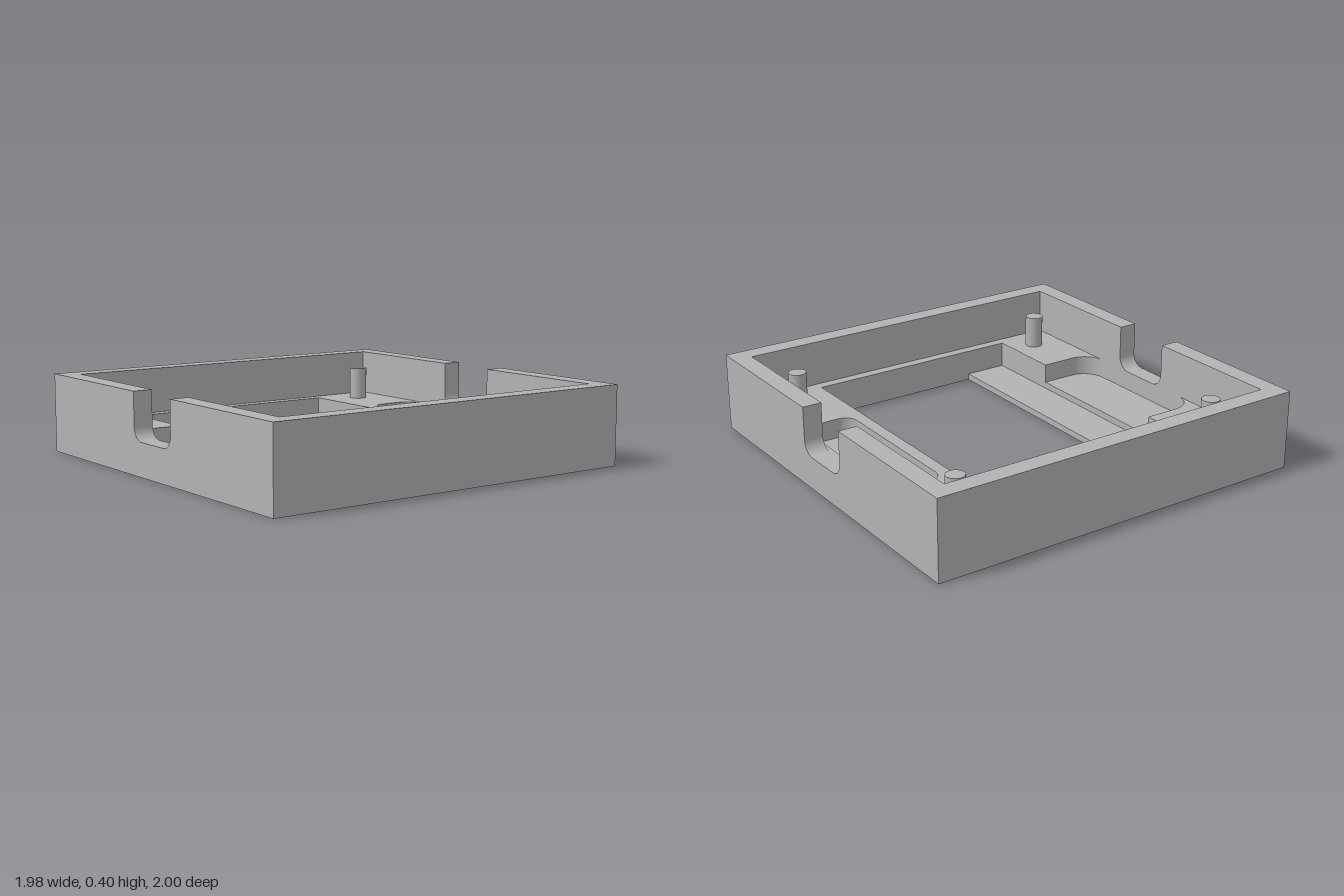
import * as THREE from 'three';

const W = 0.99, D = 1;            // outer half width and half depth
const IW = 0.893, ID = 0.902;     // inner half width and half depth
const WIN = 0.84;                 // window half width
const BACK = -0.545, FRONT = 0.374, STEP = 0.602; // window back, ledge edge, ledge back
const FLOOR = 0.167, TOP = 0.4;

// Plan outlines are drawn as (x, -z)
const rect = (x, z0, z1, P = THREE.Path) => new P()
  .moveTo(-x, -z1).lineTo(x, -z1).lineTo(x, -z0).lineTo(-x, -z0).closePath();

function roundedRect(x, z0, z1, r) {
  const p = new THREE.Path(), a = -z1, b = -z0, h = Math.PI / 2;
  p.moveTo(-x + r, a);
  p.absarc(x - r, a + r, r, -h, 0);
  p.absarc(x - r, b - r, r, 0, h);
  p.absarc(-x + r, b - r, r, h, 2 * h);
  p.absarc(-x + r, a + r, r, 2 * h, 3 * h);
  return p;
}

// Window opening joined to the front pocket with its rounded corners
function windowWithPocket() {
  const p = new THREE.Path(), x = 0.43, r = 0.12, a = -ID, h = Math.PI / 2;
  p.moveTo(-WIN, -STEP).lineTo(-x, -STEP);
  p.absarc(-x + r, a + r, r, Math.PI, 3 * h);
  p.absarc(x - r, a + r, r, -h, 0);
  p.lineTo(x, -STEP).lineTo(WIN, -STEP).lineTo(WIN, -BACK).lineTo(-WIN, -BACK);
  return p.closePath();
}

export function createModel() {
  const group = new THREE.Group();
  const grey = new THREE.MeshStandardMaterial({ color: 0xb3b3b3 });
  grey.name = 'grey';

  const add = (name, geometry, x = 0, y = 0, z = 0) => {
    const mesh = new THREE.Mesh(geometry, grey);
    mesh.name = name;
    mesh.position.set(x, y, z);
    group.add(mesh);
  };

  // Floor in three layers: ledge, pocket base, upper floor
  const layer = (name, y0, y1, holes) => {
    const shape = rect(W, -D, D, THREE.Shape);
    shape.holes.push(...holes);
    const g = new THREE.ExtrudeGeometry(shape, { depth: y1 - y0, bevelEnabled: false, curveSegments: 10 });
    add(name, g.rotateX(-Math.PI / 2), 0, y0, 0);
  };
  layer('frontLedge', 0, 0.033, [rect(WIN, BACK, FRONT)]);
  layer('pocketBase', 0.033, 0.067, [rect(WIN, BACK, STEP)]);
  layer('upperFloor', 0.067, FLOOR, [windowWithPocket(), roundedRect(0.43, -0.877, -0.609, 0.07)]);

  // End walls, each half curving into the cable notch
  const r = 0.067, notch = 0.167, t = D - ID;
  for (const s of [1, -1]) {
    const half = new THREE.Shape();
    half.moveTo(s * (notch - r), FLOOR).lineTo(s * W, FLOOR).lineTo(s * W, TOP).lineTo(s * notch, TOP);
    half.lineTo(s * notch, FLOOR + r);
    half.absarc(s * (notch - r), FLOOR + r, r, s > 0 ? 0 : Math.PI, -Math.PI / 2 + (s > 0 ? 0 : 2 * Math.PI), s > 0);
    const g = new THREE.ExtrudeGeometry(half, { depth: t, bevelEnabled: false, curveSegments: 10 });
    add('frontWall', g, 0, 0, ID);
    add('backWall', g, 0, 0, -D);
    // Side wall
    add('sideWall', new THREE.BoxGeometry(W - IW, TOP - FLOOR, 2 * ID),
      s * (W + IW) / 2, (TOP + FLOOR) / 2, 0);
    // Corner pegs
    for (const z of [-0.738, 0.738]) {
      add('peg', new THREE.CylinderGeometry(0.046, 0.046, 0.167, 32), s * 0.725, FLOOR + 0.0835, z);
    }
  }
  return group;
}
